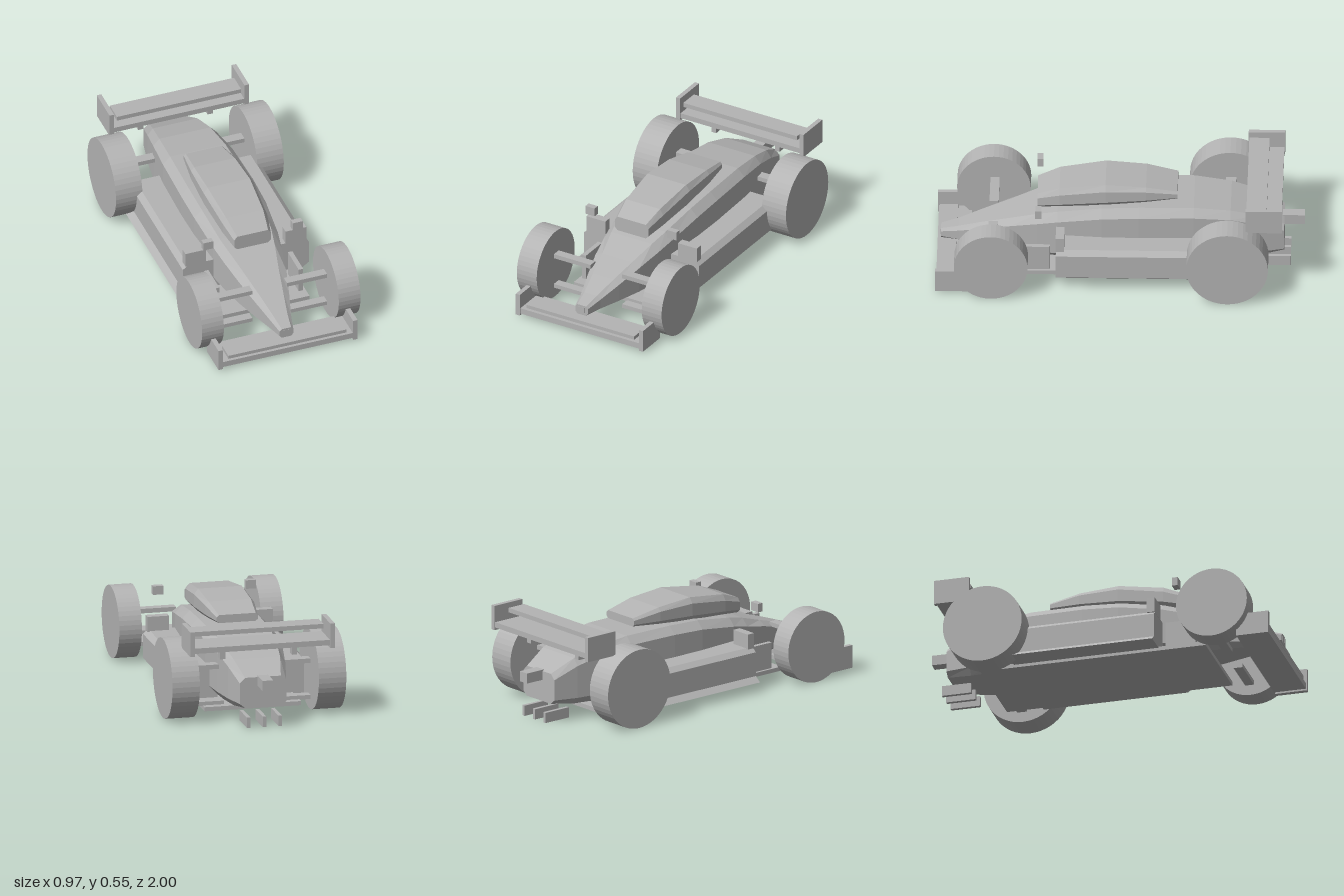
import * as THREE from 'three';

const grey = new THREE.MeshStandardMaterial({ color: 0xb4b4b4 });
grey.name = 'plain grey';

function addMesh(parent, name, geometry) {
  const mesh = new THREE.Mesh(geometry, grey);
  mesh.name = name;
  parent.add(mesh);
  return mesh;
}

// Box given by its minimum and maximum on each axis.
function box(parent, name, [x0, x1], [y0, y1], [z0, z1]) {
  const mesh = addMesh(parent, name, new THREE.BoxGeometry(x1 - x0, y1 - y0, z1 - z0));
  mesh.position.set((x0 + x1) / 2, (y0 + y1) / 2, (z0 + z1) / 2);
  return mesh;
}

// The same box on both sides of the car.
function boxPair(parent, name, [x0, x1], y, z) {
  box(parent, name + 'Left', [x0, x1], y, z);
  box(parent, name + 'Right', [-x1, -x0], y, z);
}

// Faceted solid through rings of [x, y, z], front to back, counter-clockwise from the front.
function loft(rings) {
  const points = [];
  const n = rings[0].length;
  const tri = (a, b, c) => points.push(...a, ...b, ...c);
  for (let i = 0; i < rings.length - 1; i++) {
    for (let j = 0; j < n; j++) {
      const k = (j + 1) % n;
      tri(rings[i][j], rings[i + 1][j], rings[i + 1][k]);
      tri(rings[i][j], rings[i + 1][k], rings[i][k]);
    }
  }
  const first = rings[0], last = rings[rings.length - 1];
  for (let j = 1; j < n - 1; j++) {
    tri(first[0], first[j], first[j + 1]);
    tri(last[0], last[j + 1], last[j]);
  }
  const g = new THREE.BufferGeometry();
  g.setAttribute('position', new THREE.Float32BufferAttribute(points, 3));
  g.computeVertexNormals();
  return g;
}

// Eight-sided ring: half width, top half width, bottom, lower edge, upper edge, top.
function octagon([z, w, wt, y0, y1, y2, y3]) {
  return [[-wt, y0], [wt, y0], [w, y1], [w, y2], [wt, y3], [-wt, y3], [-w, y2], [-w, y1]]
    .map(([x, y]) => [x, y, z]);
}

function wheel(parent, name, radius, x0, x1, y, z) {
  const g = new THREE.CylinderGeometry(radius, radius, x1 - x0, 48).toNonIndexed();
  g.computeVertexNormals();
  g.rotateZ(Math.PI / 2);
  for (const side of [1, -1]) {
    addMesh(parent, name + (side > 0 ? 'Left' : 'Right'), g)
      .position.set(side * (x0 + x1) / 2, y, z);
  }
}

export function createModel() {
  const car = new THREE.Group();
  car.name = 'racingCar';

  // Main body, from nose tip to tail
  addMesh(car, 'body', loft([
    [0.975, 0.04, 0.027, 0.115, 0.13, 0.16, 0.173],
    [0.88, 0.062, 0.04, 0.11, 0.125, 0.18, 0.198],
    [0.75, 0.1, 0.065, 0.1, 0.122, 0.22, 0.243],
    [0.6, 0.14, 0.095, 0.09, 0.12, 0.265, 0.29],
    [0.45, 0.17, 0.128, 0.087, 0.122, 0.3, 0.34],
    [0.34, 0.188, 0.148, 0.085, 0.124, 0.325, 0.368],
    [0.1, 0.207, 0.163, 0.085, 0.128, 0.36, 0.403],
    [-0.1, 0.21, 0.166, 0.085, 0.13, 0.37, 0.413],
    [-0.4, 0.202, 0.16, 0.085, 0.13, 0.37, 0.413],
    [-0.6, 0.183, 0.148, 0.087, 0.13, 0.35, 0.39],
    [-0.75, 0.16, 0.13, 0.092, 0.13, 0.31, 0.35],
    [-0.89, 0.13, 0.1, 0.11, 0.135, 0.25, 0.28],
  ].map(octagon)));
  boxPair(car, 'noseVent', [0.006, 0.02], [0.13, 0.163], [0.972, 0.977]);

  // Cockpit canopy
  addMesh(car, 'canopy', loft([
    [0.45, 0.106, 0.09, 0.363, 0.38, 0.425, 0.447],
    [0.33, 0.128, 0.107, 0.378, 0.4, 0.46, 0.493],
    [0.08, 0.145, 0.122, 0.4, 0.428, 0.497, 0.528],
    [-0.14, 0.137, 0.118, 0.42, 0.44, 0.492, 0.513],
    [-0.31, 0.115, 0.103, 0.435, 0.446, 0.468, 0.48],
  ].map(octagon)));

  // Sidepods: the lower edge tucks in on one side and flares on the other
  const podProfiles = {
    sidepodLeft: [[0.15, 0.06], [0.33, 0.06], [0.365, 0.085], [0.365, 0.22], [0.335, 0.245], [0.15, 0.245]],
    sidepodRight: [[-0.15, 0.245], [-0.335, 0.245], [-0.365, 0.22], [-0.365, 0.085], [-0.4, 0.057], [-0.15, 0.06]],
  };
  for (const [name, profile] of Object.entries(podProfiles)) {
    addMesh(car, name, loft([0.345, -0.47].map(z => profile.map(([x, y]) => [x, y, z]))));
  }
  boxPair(car, 'sidepodIntake', [0.23, 0.35], [0.24, 0.325], [0.3, 0.346]);

  // Floor, side deflectors and diffuser fins
  box(car, 'floor', [-0.27, 0.27], [0.042, 0.065], [-0.66, 0.61]);
  boxPair(car, 'deflector', [0.23, 0.256], [0.065, 0.21], [0.38, 0.55]);
  for (const x of [-0.088, 0, 0.088]) {
    box(car, 'diffuserFin', [x - 0.01, x + 0.01], [0.007, 0.065], [-0.925, -0.76]);
  }

  // Front wing
  box(car, 'frontWing', [-0.385, 0.385], [0.022, 0.055], [0.815, 0.995]);
  box(car, 'frontWingFlap', [-0.342, 0.342], [0.065, 0.085], [0.89, 0.99]);
  boxPair(car, 'frontEndplate', [0.377, 0.403], [0.012, 0.14], [0.82, 1]);

  // Rear wing
  box(car, 'rearWing', [-0.385, 0.385], [0.43, 0.46], [-0.88, -0.69]);
  box(car, 'rearWingFlap', [-0.36, 0.36], [0.505, 0.53], [-0.8, -0.69]);
  boxPair(car, 'rearEndplate', [0.378, 0.404], [0.415, 0.553], [-0.884, -0.686]);
  boxPair(car, 'rearWingMount', [0.186, 0.216], [0.365, 0.43], [-0.79, -0.745]);
  box(car, 'rearLight', [-0.03, 0.03], [0.23, 0.287], [-1, -0.88]);

  // Mirrors
  boxPair(car, 'mirror', [0.23, 0.288], [0.412, 0.46], [0.425, 0.458]);

  // Suspension arms
  boxPair(car, 'frontUpperArm', [0.1, 0.337], [0.245, 0.27], [0.665, 0.715]);
  boxPair(car, 'frontLowerArm', [0.1, 0.337], [0.062, 0.085], [0.665, 0.715]);
  boxPair(car, 'rearUpperArm', [0.15, 0.337], [0.265, 0.29], [-0.62, -0.565]);
  boxPair(car, 'rearLowerArm', [0.15, 0.337], [0.062, 0.085], [-0.62, -0.565]);

  // Wheels
  wheel(car, 'frontWheel', 0.2, 0.333, 0.459, 0.203, 0.696);
  wheel(car, 'rearWheel', 0.222, 0.333, 0.486, 0.225, -0.588);

  return car;
}
